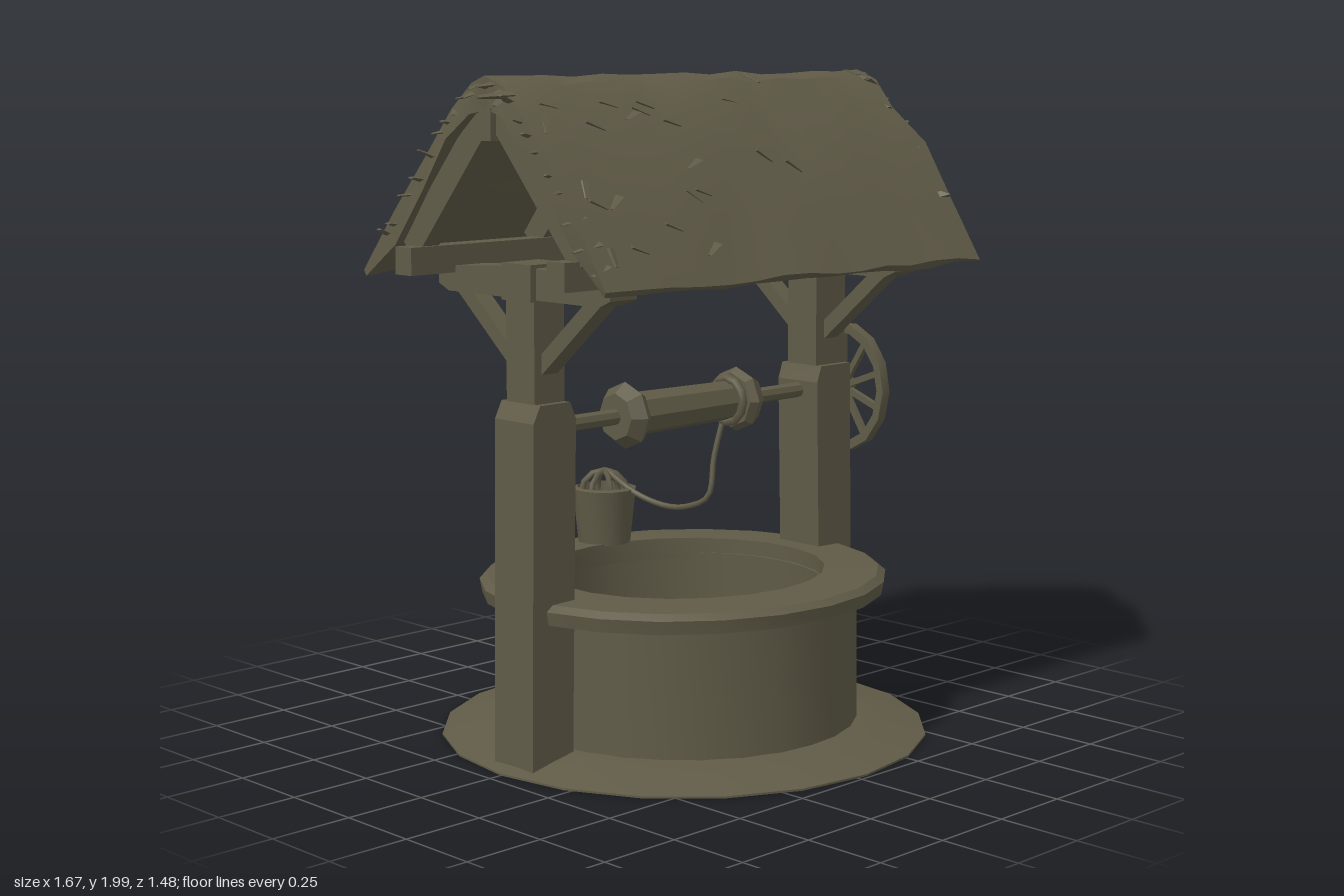
import * as THREE from 'three';
import { toCreasedNormals, mergeGeometries } from 'three/addons/utils/BufferGeometryUtils.js';

export function createModel() {
  const model = new THREE.Group();
  model.name = 'wishingWell';
  const wood = new THREE.MeshStandardMaterial({ color: 0x605b47 });
  wood.name = 'weatheredOlive';

  let seed = 7;
  const rand = () => (seed = (seed * 16807) % 2147483647) / 2147483647;
  const jitter = (s) => (rand() * 2 - 1) * s;

  const add = (name, geo, x = 0, y = 0, z = 0, parent = model) => {
    const m = new THREE.Mesh(geo, wood);
    m.name = name;
    m.position.set(x, y, z);
    parent.add(m);
    return m;
  };
  // Box given by its extents
  const block = (name, x0, x1, y0, y1, z0, z1) =>
    add(name, new THREE.BoxGeometry(x1 - x0, y1 - y0, z1 - z0),
      (x0 + x1) / 2, (y0 + y1) / 2, (z0 + z1) / 2);
  // Square bar from point a to point b
  const bar = (name, a, b, w, h) => {
    const A = new THREE.Vector3(...a), B = new THREE.Vector3(...b);
    const m = add(name, new THREE.BoxGeometry(w, h, A.distanceTo(B)));
    m.position.copy(A).add(B).multiplyScalar(0.5);
    m.lookAt(B);
  };
  // Straight-sided prism from an outline in x and y, centred on z = 0
  const prism = (pts, depth) =>
    new THREE.ExtrudeGeometry(new THREE.Shape(pts.map(p => new THREE.Vector2(...p))),
      { depth, bevelEnabled: false }).translate(0, 0, -depth / 2);
  const lathe = (name, pts, seg, x, y, z, parent = model) =>
    add(name, toCreasedNormals(new THREE.LatheGeometry(
      pts.map(p => new THREE.Vector2(...p)), seg), 0.6), x, y, z, parent);

  // Stone ring: sloping ground apron, wall, rim
  const cx = 0.03;
  lathe('groundApron', [[0.45, 0], [0.74, 0], [0.74, 0.006], [0.62, 0.032], [0.53, 0.048], [0.45, 0.048], [0.45, 0]], 20, cx, 0, 0);
  lathe('wellWall', [[0.44, 0.01], [0.53, 0.01], [0.525, 0.45], [0.43, 0.45], [0.44, 0.01]], 28, cx, 0, 0);
  const rim = lathe('wellRim', [[0.415, 0.43], [0.54, 0.425], [0.59, 0.435], [0.597, 0.475], [0.575, 0.492], [0.415, 0.497], [0.415, 0.43]], 22, cx, 0, 0);
  rim.scale.x = 1.07;

  // Posts leaning slightly inward, with cross beams and braces
  for (const [side, b0, b1, t0, t1, u0, u1] of [
    ['right', -0.66, -0.505, -0.645, -0.485, -0.62, -0.507],
    ['left', 0.56, 0.71, 0.535, 0.69, 0.553, 0.688]]) {
    const c = (u0 + u1) / 2;
    add(side + 'Post', prism([[b0, 0], [b1, 0], [t1, 1.02], [u1, 1.07], [u0, 1.07], [t0, 1.02]], 0.166));
    block(side + 'UpperPost', u0, u1, 1.05, 1.4, -0.06, 0.06);
    block(side + 'PostCap', c - 0.07, c + 0.07, 1.36, 1.465, -0.062, 0.062);
    // cross beam with undercut ends
    add(side + 'CrossBeam', prism([[-0.365, 1.385], [-0.32, 1.365], [0.32, 1.365], [0.365, 1.385],
      [0.365, 1.435], [0.06, 1.455], [-0.06, 1.455], [-0.365, 1.435]], 0.1).rotateY(Math.PI / 2), c);
    for (const s of [-1, 1])
      bar(side + 'Brace', [c, 1.165, s * 0.04], [c, 1.39, s * 0.3], 0.06, 0.045);
  }

  // Roof frame
  for (const s of [-1, 1]) {
    block('purlin', -0.775, 0.825, 1.42, 1.5, s * 0.325 - 0.036, s * 0.325 + 0.036);
    for (const x of [-0.69, -0.23, 0.26, 0.74])
      bar('rafter', [x, 1.92, 0], [x, 1.49, s * 0.37], 0.06, 0.085);
  }
  block('ridgeBeam', -0.74, 0.79, 1.81, 1.9, -0.024, 0.024);

  // Thatched roof: cross-section swept along x with ragged ends
  const outer = [[0.51, 1.425], [0.39, 1.6], [0.27, 1.765], [0.16, 1.88], [0.07, 1.965], [0, 1.985],
    [-0.06, 1.968], [-0.15, 1.9], [-0.28, 1.75], [-0.41, 1.59], [-0.545, 1.422]];
  const n = outer.length;
  const inner = outer.map(([z, y], i) => i === 0 || i === n - 1 ? [z * 0.97, y - 0.015] : [z * 0.97, y - 0.085]);
  const ring = [...outer, ...inner.reverse()];
  const cols = 14, pos = [], idx = [], R = ring.length;
  for (let j = 0; j <= cols; j++) {
    const end = j === 0 || j === cols;
    for (const [z, y] of ring)
      pos.push(-0.745 + 1.55 * j / cols + (end ? jitter(0.018) : 0), y + jitter(0.007), z + jitter(0.004));
  }
  for (let j = 0; j < cols; j++)
    for (let i = 0; i < R; i++) {
      const a = j * R + i, d = j * R + (i + 1) % R, b = a + R, c = d + R;
      idx.push(a, b, c, a, c, d);
    }
  for (let k = 0; k < n - 1; k++) {
    const q = [k, k + 1, R - 2 - k, R - 1 - k], o = cols * R;
    idx.push(q[0], q[1], q[2], q[0], q[2], q[3]);
    idx.push(o + q[0], o + q[2], o + q[1], o + q[0], o + q[3], o + q[2]);
  }
  const roof = new THREE.BufferGeometry();
  roof.setAttribute('position', new THREE.Float32BufferAttribute(pos, 3));
  roof.setIndex(idx);
  add('thatchRoof', toCreasedNormals(roof, 0.5));

  // Loose straw chips on the gable ends and the front slope
  const straws = [], dummy = new THREE.Object3D();
  const straw = (p, target, w, len) => {
    const g = new THREE.CylinderGeometry(w * 0.35, w, len, 4).rotateX(Math.PI / 2).scale(1, 0.3, 1);
    dummy.position.set(...p);
    dummy.lookAt(...target);
    dummy.updateMatrix();
    straws.push(g.applyMatrix4(dummy.matrix));
  };
  const roofAt = (t) => {
    const f = t * (n - 1), i = Math.min(Math.floor(f), n - 2), k = f - i;
    return [0, 1].map(a => outer[i][a] + (outer[i + 1][a] - outer[i][a]) * k);
  };
  for (const s of [-1, 1])
    for (let i = 0; i < 24; i++) {
      const [z, y] = roofAt(0.04 + 0.92 * (i + rand() * 0.5) / 24);
      const x = s < 0 ? -0.74 : 0.79, yy = y - 0.015 - rand() * 0.03;
      straw([x, yy, z], [x + s, yy + jitter(0.5), z + jitter(0.6)], 0.02 + rand() * 0.015, 0.05 + rand() * 0.04);
    }
  for (let i = 0; i < 22; i++) {
    const t = 0.05 + rand() * 0.38, x = -0.72 + rand() * rand() * 1.4;
    const [z, y] = roofAt(t), [z2, y2] = roofAt(t - 0.03);
    straw([x, y, z], [x + jitter(0.12), y2 + 0.006, z2], 0.022, 0.06);
  }
  straw([-0.78, 1.935, 0.08], [-1.5, 1.9, 0.1], 0.04, 0.11);
  straw([0.79, 1.975, 0], [1.5, 1.985, 0], 0.05, 0.09);
  add('strawChips', toCreasedNormals(mergeGeometries(straws), 0.3));

  // Windlass: axle, drum and flanges along x
  const rod = (name, r0, r1, x0, x1, seg) => {
    const g = new THREE.CylinderGeometry(r1, r0, x1 - x0, seg).rotateZ(-Math.PI / 2);
    add(name, toCreasedNormals(g, 0.5), (x0 + x1) / 2, 0.99, 0);
  };
  rod('axle', 0.024, 0.024, -0.52, 0.77, 8);
  rod('drum', 0.066, 0.06, -0.2, 0.25, 8);
  rod('flange', 0.07, 0.1, -0.255, -0.215, 8);
  rod('flange', 0.1, 0.085, -0.215, -0.19, 8);
  rod('flange', 0.085, 0.1, 0.23, 0.255, 8);
  rod('flange', 0.1, 0.075, 0.255, 0.3, 8);

  // Hand wheel
  const wheel = new THREE.Group();
  wheel.name = 'handWheel';
  wheel.position.set(0.752, 0.98, 0);
  wheel.scale.z = 0.87;
  model.add(wheel);
  lathe('wheelRim', [[0.178, -0.017], [0.208, -0.017], [0.208, 0.017], [0.178, 0.017], [0.178, -0.017]], 14, 0, 0, 0, wheel)
    .rotation.z = Math.PI / 2;
  const spoke = new THREE.BoxGeometry(0.018, 0.185, 0.02).translate(0, 0.0925, 0);
  for (let i = 0; i < 10; i++)
    add('spoke', spoke, 0, 0, 0, wheel).rotation.x = i / 10 * Math.PI * 2;
  add('wheelHub', new THREE.CylinderGeometry(0.04, 0.04, 0.04, 8).rotateZ(Math.PI / 2), 0, 0, 0, wheel);

  // Bucket standing on the back of the rim
  const bucket = new THREE.Group();
  bucket.name = 'bucket';
  bucket.position.set(0.135, 0.492, -0.468);
  model.add(bucket);
  lathe('bucketBody', [[0, 0], [0.085, 0], [0.104, 0.175], [0.088, 0.18], [0.075, 0.03], [0, 0.03]], 12, 0, 0, 0, bucket);
  const arc = new THREE.TorusGeometry(0.075, 0.01, 5, 6, Math.PI);
  for (const a of [0.2, 1.1, 2.3])
    add('bucketHandle', arc, 0, 0.155, 0, bucket).rotation.y = a;

  // Rope from drum to bucket
  const path = new THREE.CatmullRomCurve3([[0.27, 0.95, -0.06], [0.235, 0.8, -0.075], [0.215, 0.68, -0.08],
    [0.2, 0.638, -0.16], [0.19, 0.63, -0.25], [0.17, 0.66, -0.37], [0.14, 0.72, -0.46]]
    .map(p => new THREE.Vector3(...p)));
  add('rope', new THREE.TubeGeometry(path, 24, 0.009, 6));
  add('ropeCoil', new THREE.TorusGeometry(0.068, 0.014, 6, 12), 0.215, 0.99, 0).rotation.y = Math.PI / 2;

  return model;
}
